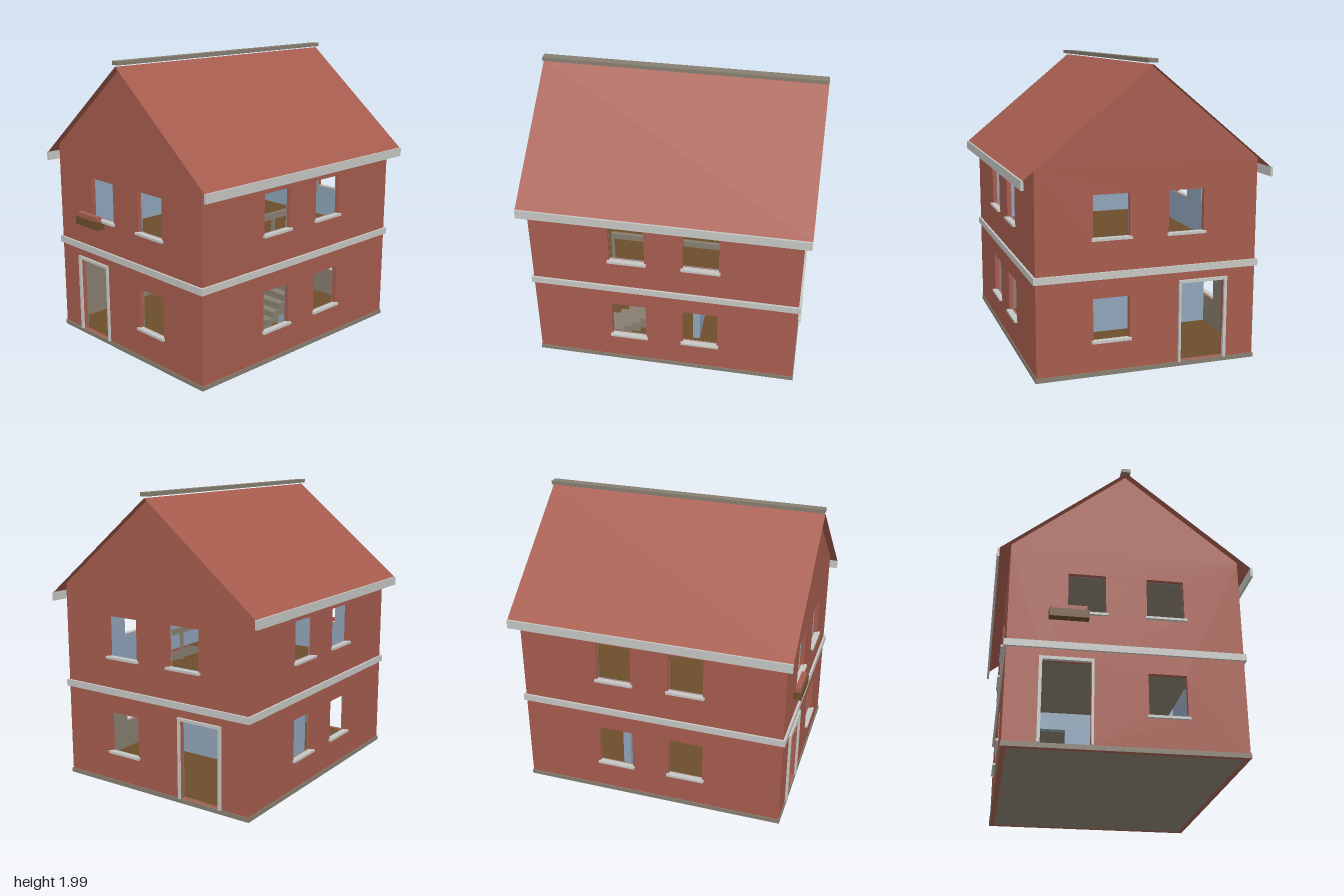
import * as THREE from 'three';

const mat = (name, color, side = THREE.FrontSide) => {
  const m = new THREE.MeshStandardMaterial({ color, side });
  m.name = name;
  return m;
};

export function createModel() {
  const brick = mat('brick red', 0xa65c4e, THREE.DoubleSide);
  const trim = mat('pale trim', 0xc6c7c3);
  const stone = mat('taupe stone', 0x877e70);
  const blue = mat('blue plaster', 0x90a4ba);
  const wood = mat('brown wood', 0x6c4d2a);

  const house = new THREE.Group();
  house.name = 'house';
  const add = (name, geo, material, parent = house) => {
    const mesh = new THREE.Mesh(geo, material);
    mesh.name = name;
    parent.add(mesh);
    return mesh;
  };
  // Box given by its limits on each axis
  const box = (name, material, x0, x1, y0, y1, z0, z1) => {
    const g = new THREE.BoxGeometry(x1 - x0, y1 - y0, z1 - z0);
    g.translate((x0 + x1) / 2, (y0 + y1) / 2, (z0 + z1) / 2);
    return add(name, g, material);
  };
  // Upright slab with rectangular openings [u0, u1, y0, y1]
  const rect = (P, u0, u1, y0, y1) => {
    const p = new P();
    p.moveTo(u0, y0).lineTo(u1, y0).lineTo(u1, y1).lineTo(u0, y1).closePath();
    return p;
  };
  const slab = (u0, u1, y0, y1, depth, holes) => {
    const shape = rect(THREE.Shape, u0, u1, y0, y1);
    shape.holes = holes.map((h) => rect(THREE.Path, ...h));
    return new THREE.ExtrudeGeometry(shape, { depth, bevelEnabled: false });
  };
  // Four strips running round the outside of the walls
  const W = 0.74, D = 0.91, T = 0.03;
  const ring = (name, material, y0, y1, out) => {
    for (const s of [-1, 1]) {
      const z = [s * D, s * (D + out)].sort((a, b) => a - b);
      const x = [s * W, s * (W + out)].sort((a, b) => a - b);
      box(name, material, -W - out, W + out, y0, y1, ...z);
      box(name, material, ...x, y0, y1, -D, D);
    }
  };

  // Openings
  const LOW = [0.24, 0.52], HIGH = [0.905, 1.18];
  const right = [0.13, 0.37], left = [-0.37, -0.13];
  const door = [-0.52, -0.22, 0.04, 0.57];
  const endLow = [[...right, ...LOW], door];
  const sideLow = [[...right, ...LOW], [...left, ...LOW]];
  const high = [[...right, ...HIGH], [...left, ...HIGH]];

  // Walls with plaster linings, storey by storey
  const L = 0.006;
  for (const s of [-1, 1]) {
    const endName = s > 0 ? 'frontWall' : 'backWall';
    const sideName = s > 0 ? 'leftWall' : 'rightWall';
    add(endName, slab(-W, W, 0.01, 1.36, T, [...endLow, ...high]), brick)
      .position.z = s > 0 ? D - T : -D;
    const side = add(sideName, slab(-D + T, D - T, 0.01, 1.36, T, [...sideLow, ...high]), brick);
    side.rotation.y = Math.PI / 2;
    side.position.x = s > 0 ? W - T : -W;

    const storeys = [[0.039, 0.655, endLow, sideLow, stone], [0.68, 1.35, high, high, blue]];
    for (const [y0, y1, endHoles, sideHoles, m] of storeys) {
      const holes = endHoles.map((h) => [h[0], h[1], Math.max(h[2], y0 + 0.001), h[3]]);
      add(endName + 'Lining', slab(-W + T, W - T, y0, y1, L, holes), m)
        .position.z = s > 0 ? D - T - L : -D + T;
      const lining = add(sideName + 'Lining', slab(-D + T + L, D - T - L, y0, y1, L, sideHoles), m);
      lining.rotation.y = Math.PI / 2;
      lining.position.x = s > 0 ? W - T - L : -W + T;
    }
  }

  // Window sills
  const sill = (c, y, s, onSide) => {
    const g = onSide ? new THREE.BoxGeometry(0.04, 0.016, 0.265) : new THREE.BoxGeometry(0.265, 0.016, 0.04);
    const mesh = add('windowSill', g, trim);
    if (onSide) mesh.position.set(s * W, y, c);
    else mesh.position.set(c, y, s * D);
  };
  for (const s of [-1, 1]) {
    for (const c of [-0.25, 0.25]) {
      sill(c, 0.9, s, false);
      sill(c, 0.9, s, true);
      sill(c, 0.238, s, true);
    }
    sill(0.25, 0.238, s, false);
  }

  // Door frames, front and back
  for (const s of [-1, 1]) {
    const z = [s * (D - 0.01), s * (D + 0.016)].sort((a, b) => a - b);
    box('doorFramePost', trim, -0.54, -0.52, 0.04, 0.57, ...z);
    box('doorFramePost', trim, -0.22, -0.205, 0.04, 0.57, ...z);
    box('doorFrameHead', trim, -0.54, -0.205, 0.57, 0.59, ...z);
  }

  // Foundation strip and storey band
  ring('foundation', stone, 0.01, 0.04, 0.006);
  ring('storeyBand', trim, 0.645, 0.69, 0.015);

  // Floors and ceiling, with a stairwell in the upper floor
  const ix = W - T, iz = D - T;
  box('groundSlab', stone, -ix, ix, 0.01, 0.034, -iz, iz);
  box('groundFloor', wood, -ix, ix, 0.034, 0.04, -iz, iz);
  const well = [0.48, 0.4];
  for (const [name, m, y0, y1] of [['upperSlab', stone, 0.655, 0.674], ['upperFloor', wood, 0.674, 0.68]]) {
    box(name, m, -ix, well[0], y0, y1, -iz, iz);
    box(name, m, well[0], ix, y0, y1, well[1], iz);
    box(name, m, well[0], ix, y0, y1, -iz, -well[1]);
  }
  box('ceiling', stone, -ix, ix, 1.35, 1.364, -iz, iz);

  // Ground floor partition with doorway
  add('partition', slab(-ix + L, 0.48, 0.04, 0.655, 0.05, [[-0.485, -0.26, 0.041, 0.53]]), blue)
    .position.z = -0.21;

  // Staircase
  for (let i = 0; i < 14; i++) {
    const z = 0.555 - 0.0625 * i, y = 0.04 + 0.042 * i;
    box('stairStep', stone, 0.49, 0.7, y, y + 0.082, z - 0.0625, z);
  }
  // Stairwell railing
  box('handrail', stone, 0.455, 0.48, 0.885, 0.928, -0.42, 0.42);
  for (const z of [-0.41, 0, 0.41]) {
    box('railingPost', stone, 0.458, 0.477, 0.68, 0.885, z - 0.01, z + 0.01);
  }

  // Gables
  const apex = 1.965, base = 1.36;
  for (const s of [-1, 1]) {
    const tri = new THREE.Shape();
    tri.moveTo(-W, base).lineTo(W, base).lineTo(0, apex - 0.003).closePath();
    add(s > 0 ? 'frontGable' : 'backGable',
      new THREE.ExtrudeGeometry(tri, { depth: T, bevelEnabled: false }), brick)
      .position.z = s > 0 ? D - T : -D;
  }

  // Thin sloping roof sheets with eaves boards
  const eaveX = 0.815, eaveY = 1.3, roofZ = 0.957;
  const slope = Math.hypot(eaveX, apex - eaveY);
  const tilt = Math.atan2(apex - eaveY, eaveX);
  for (const s of [-1, 1]) {
    const sheet = new THREE.PlaneGeometry(slope, roofZ * 2);
    sheet.rotateX(-Math.PI / 2);
    sheet.rotateZ(-s * tilt);
    sheet.translate((s * eaveX) / 2, (apex + eaveY) / 2, 0);
    add('roofSlope', sheet, brick);
    const x = [s * 0.812, s * 0.828].sort((a, b) => a - b);
    box('eavesBoard', trim, ...x, 1.24, 1.3, -roofZ, roofZ);
  }
  box('ridgeCap', stone, -0.03, 0.03, 1.975, 2.0, -roofZ, roofZ);

  // Planter box under the front window
  box('planter', wood, -0.49, -0.24, 0.845, 0.9, D, 0.966);
  box('planterFlowers', brick, -0.48, -0.255, 0.9, 0.93, 0.92, 0.957);

  return house;
}
